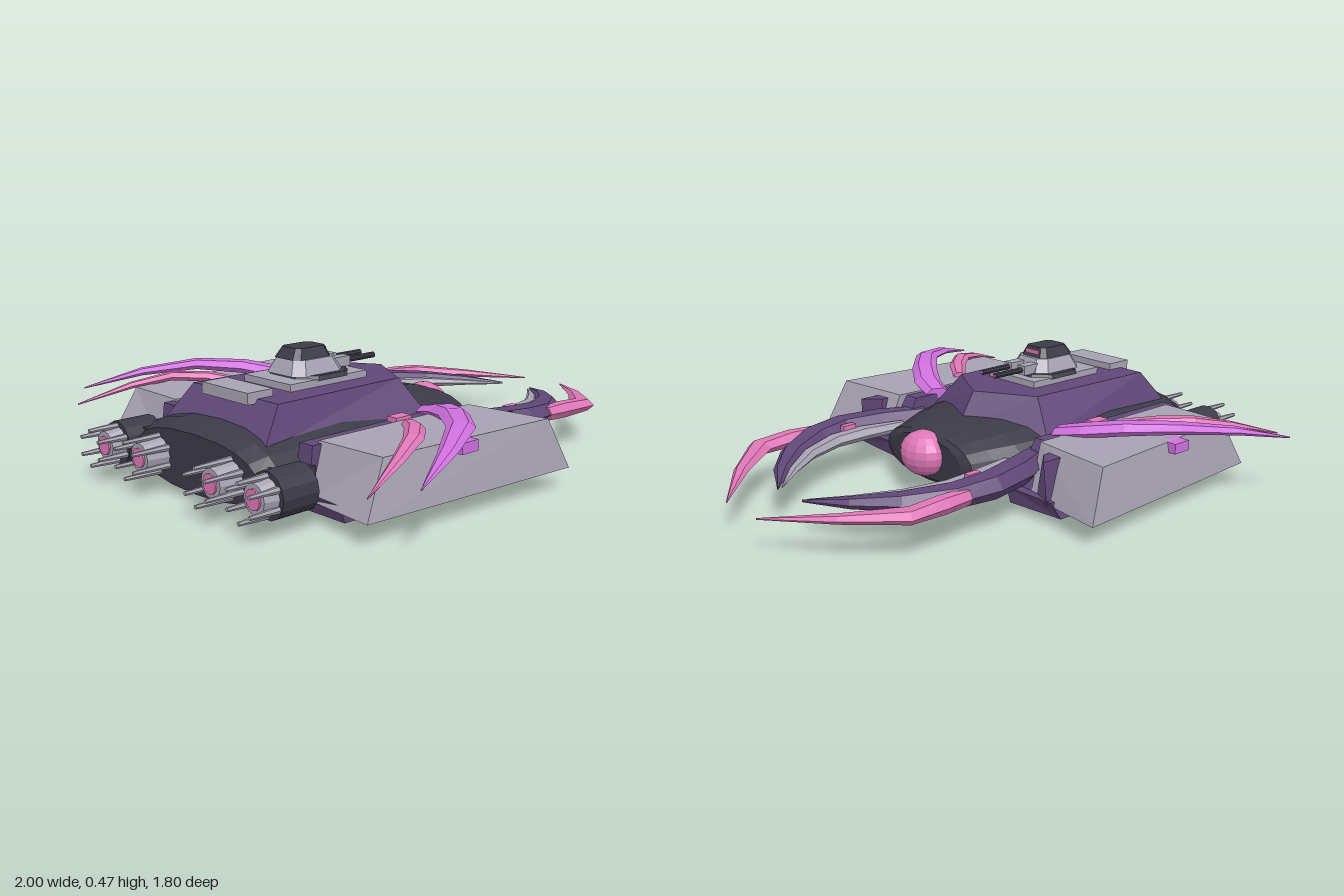
import * as THREE from 'three';

const paint = (name, color) => {
  const m = new THREE.MeshStandardMaterial({ color });
  m.name = name;
  m.flatShading = true;
  return m;
};

// Closed solid through rings of points; winding is fixed by its signed volume
function loft(rings, side = 1) {
  const n = rings[0].length, tris = [];
  for (let r = 0; r < rings.length - 1; r++) {
    for (let i = 0; i < n; i++) {
      const j = (i + 1) % n;
      const a = rings[r][i], b = rings[r][j], c = rings[r + 1][j], d = rings[r + 1][i];
      tris.push([a, b, c], [a, c, d]);
    }
  }
  const last = rings[rings.length - 1];
  for (let i = 1; i < n - 1; i++) {
    tris.push([rings[0][0], rings[0][i + 1], rings[0][i]], [last[0], last[i], last[i + 1]]);
  }
  let volume = 0;
  const vecs = tris.map(t => t.map(p => new THREE.Vector3(p[0], p[1], p[2] * side)));
  vecs.forEach(([a, b, c]) => { volume += a.dot(b.clone().cross(c)); });
  const pos = [];
  vecs.forEach(([a, b, c]) => {
    (volume > 0 ? [a, b, c] : [a, c, b]).forEach(v => pos.push(v.x, v.y, v.z));
  });
  const g = new THREE.BufferGeometry();
  g.setAttribute('position', new THREE.Float32BufferAttribute(pos, 3));
  g.computeVertexNormals();
  return g;
}

// Block between two outlines of [x, z] at two heights
const slab = (low, y0, high, y1, side) =>
  loft([low.map(([x, z]) => [x, y0, z]), high.map(([x, z]) => [x, y1, z])], side);

// Curved tapering claw through [x, y, z, width, height]
function claw(path, side) {
  const section = [[-0.5, 0], [-0.25, 0.5], [0.25, 0.5], [0.5, 0], [0.25, -0.5], [-0.25, -0.5]];
  const rings = path.map(([x, y, z, w, h], i) => {
    const p = path[Math.max(0, i - 1)], q = path[Math.min(path.length - 1, i + 1)];
    const len = Math.hypot(q[0] - p[0], q[2] - p[2]);
    const sx = -(q[2] - p[2]) / len, sz = (q[0] - p[0]) / len;
    return section.map(([u, v]) => [x + sx * u * w, y + v * h, z + sz * u * w]);
  });
  return loft(rings, side);
}

const box = (x0, x1, y0, y1, z0, z1) => new THREE.BoxGeometry(x1 - x0, y1 - y0, z1 - z0)
  .translate((x0 + x1) / 2, (y0 + y1) / 2, (z0 + z1) / 2);

// Cylinder along x from x0 (radius r0) to x1 (radius r1)
const tube = (x0, x1, r0, r1, y, z, sides = 12) =>
  new THREE.CylinderGeometry(r0, r1, x1 - x0, sides).rotateZ(Math.PI / 2).translate((x0 + x1) / 2, y, z);

// Rectangle outline with cut corners
const octagon = (cx, a, b, c) => [[a, b - c], [a - c, b], [c - a, b], [-a, b - c],
  [-a, c - b], [c - a, -b], [a - c, -b], [a, c - b]].map(([x, z]) => [cx + x, z]);

export function createModel() {
  const root = new THREE.Group();
  root.name = 'clawedShip';
  const hullDark = paint('hull charcoal', 0x3b3a47);
  const purple = paint('armour purple', 0x604778);
  const light = paint('pale grey', 0xa7a2b2);
  const pink = paint('pink', 0xde77b7);
  const orchid = paint('orchid', 0xcf70de);
  const add = (name, geo, mat, parent = root) => {
    const m = new THREE.Mesh(geo, mat);
    m.name = name;
    parent.add(m);
    return m;
  };

  // Rounded hull: [x, half width, bottom, top]
  const hull = [[-0.86, 0.34, 0.035, 0.24], [-0.8, 0.37, 0.022, 0.27], [-0.45, 0.39, 0.006, 0.29],
    [-0.1, 0.37, 0.012, 0.28], [0.04, 0.325, 0.025, 0.265], [0.14, 0.275, 0.036, 0.25],
    [0.215, 0.245, 0.05, 0.235], [0.23, 0.2, 0.065, 0.22]].map(([x, w, lo, hi]) => {
    const ring = [], mid = (lo + hi) / 2, h = (hi - lo) / 2;
    for (let i = 0; i < 20; i++) {
      const a = i / 20 * Math.PI * 2, c = Math.cos(a), s = Math.sin(a);
      ring.push([x, mid + h * s, w * Math.sign(c) * Math.abs(c) ** 0.8]);
    }
    return ring;
  });
  add('hull', loft(hull), hullDark);
  add('noseDome', new THREE.SphereGeometry(1, 14, 10).scale(0.083, 0.085, 0.1).translate(0.235, 0.16, 0), pink);

  // Pointed upper armour
  add('upperDeck', slab([[-0.79, 0.28], [-0.08, 0.32], [0.075, 0], [-0.08, -0.32], [-0.79, -0.28]], 0.22,
    [[-0.69, 0.23], [-0.13, 0.215], [-0.005, 0], [-0.13, -0.215], [-0.69, -0.23]], 0.35), purple);
  add('rearDeckPlate', box(-0.73, -0.625, 0.335, 0.375, -0.125, 0.125), light);
  add('turretDeckPlate', box(-0.55, -0.2, 0.34, 0.375, -0.125, 0.125), light);

  // Turret with twin guns
  const turret = new THREE.Group();
  turret.name = 'turret';
  root.add(turret);
  add('turretRing', slab(octagon(-0.36, 0.125, 0.13, 0.06), 0.37, octagon(-0.36, 0.115, 0.12, 0.055), 0.385), hullDark, turret);
  add('turretBody', slab(octagon(-0.38, 0.115, 0.1, 0.035), 0.383, octagon(-0.38, 0.09, 0.075, 0.03), 0.435), light, turret);
  add('turretCap', slab(octagon(-0.39, 0.085, 0.068, 0.02), 0.435, octagon(-0.385, 0.065, 0.05, 0.015), 0.472), hullDark, turret);
  add('turretLamp', box(-0.34, -0.309, 0.448, 0.462, -0.035, 0.035), pink, turret);
  for (const z of [-0.036, 0.036]) {
    add('gunMount', box(-0.3, -0.215, 0.383, 0.42, z - 0.02, z + 0.02), light, turret);
    add('gunBarrel', tube(-0.23, -0.08, 0.011, 0.011, 0.402, z, 8), hullDark, turret);
    add('gunMuzzle', tube(-0.1, -0.076, 0.007, 0.007, 0.402, z, 6), pink, turret);
  }

  for (const side of [1, -1]) {
    const half = new THREE.Group();
    half.name = side > 0 ? 'leftSide' : 'rightSide';
    root.add(half);
    const bx = (x0, x1, y0, y1, z0, z1) => box(x0, x1, y0, y1, Math.min(z0 * side, z1 * side), Math.max(z0 * side, z1 * side));

    // Side pod and its bracket
    add('sidePod', slab([[-0.745, 0.695], [0.15, 0.76], [0.1, 0.42], [-0.715, 0.4]], 0.077,
      [[-0.65, 0.665], [0.07, 0.725], [0.035, 0.4], [-0.66, 0.39]], 0.257, side), light, half);
    add('podBracket', slab([[-0.7, 0.33], [-0.7, 0.55], [0.1, 0.57], [0.12, 0.34]], 0.035,
      [[-0.72, 0.33], [-0.72, 0.55], [0.13, 0.55], [0.13, 0.33]], 0.095, side), purple, half);
    add('podInnerWall', slab([[-0.72, 0.33], [-0.72, 0.41], [0.1, 0.43], [0.1, 0.33]], 0.08,
      [[-0.7, 0.345], [-0.7, 0.405], [0.0, 0.405], [0.0, 0.34]], 0.25, side), purple, half);
    add('podFrontFin', slab([[0.03, 0.45], [0.03, 0.53], [0.13, 0.53], [0.1, 0.45]], 0.08,
      [[0.03, 0.46], [0.03, 0.52], [0.14, 0.52], [0.08, 0.46]], 0.235, side), purple, half);

    // Front mandibles
    add('mandible', claw([[-0.03, 0.175, 0.33, 0.09, 0.07], [0.14, 0.17, 0.395, 0.13, 0.085],
      [0.3, 0.168, 0.43, 0.13, 0.08], [0.44, 0.162, 0.41, 0.13, 0.07], [0.59, 0.155, 0.325, 0.1, 0.055],
      [0.71, 0.148, 0.21, 0.06, 0.035], [0.81, 0.14, 0.075, 0.005, 0.008]], side), purple, half);
    add('mandibleInnerBlade', claw([[0.1, 0.165, 0.3, 0.04, 0.04], [0.27, 0.162, 0.335, 0.085, 0.045],
      [0.4, 0.158, 0.335, 0.08, 0.042], [0.55, 0.152, 0.28, 0.06, 0.035], [0.68, 0.146, 0.185, 0.04, 0.02],
      [0.79, 0.14, 0.08, 0.005, 0.006]], side), light, half);
    add('mandibleStud', bx(0.29, 0.345, 0.17, 0.2, 0.35, 0.375), pink, half);
    add('outerFang', claw([[0.42, 0.165, 0.452, 0.06, 0.05], [0.52, 0.165, 0.455, 0.078, 0.056],
      [0.655, 0.16, 0.45, 0.095, 0.045], [0.82, 0.148, 0.3, 0.055, 0.028], [0.995, 0.132, 0.095, 0.004, 0.005]], side), pink, half);

    // Swept spikes over the pod
    add('longSpike', claw([[-0.11, 0.25, 0.34, 0.1, 0.04], [-0.14, 0.272, 0.44, 0.11, 0.045],
      [-0.22, 0.292, 0.56, 0.105, 0.045], [-0.345, 0.3, 0.7, 0.095, 0.036], [-0.53, 0.278, 0.812, 0.062, 0.026],
      [-0.735, 0.23, 0.9, 0.004, 0.005]], side), orchid, half);
    add('shortSpike', claw([[-0.325, 0.262, 0.455, 0.05, 0.03], [-0.4, 0.278, 0.555, 0.07, 0.034],
      [-0.5, 0.282, 0.645, 0.068, 0.03], [-0.64, 0.255, 0.715, 0.045, 0.022], [-0.83, 0.2, 0.785, 0.004, 0.005]], side), pink, half);
    add('spikeSocket', bx(-0.32, -0.25, 0.235, 0.268, 0.35, 0.395), pink, half);
    add('podStud', bx(-0.37, -0.295, 0.22, 0.257, 0.66, 0.73), orchid, half);

    // Engines: the outer one has its own housing
    add('outerEngineHousing', tube(-0.89, -0.75, 0.078, 0.078, 0.135, side * 0.415, 14), hullDark, half);
    add('engineStrut', bx(-0.82, -0.7, 0.08, 0.19, 0.3, 0.42), hullDark, half);
    for (const [z, x] of [[0.415, -0.885], [0.2, -0.855]]) {
      const engine = new THREE.Group();
      engine.name = 'engine';
      half.add(engine);
      add('nozzle', tube(-0.94, x, 0.05, 0.062, 0.135, side * z, 12), light, engine);
      add('engineGlow', tube(-0.946, -0.935, 0.034, 0.034, 0.135, side * z, 12), pink, engine);
      for (let i = 0; i < 6; i++) {
        const a = (i + 0.5) * Math.PI / 3;
        add('prong', tube(-1, x, 0.007, 0.012, 0.135 + Math.sin(a) * 0.062, side * z + Math.cos(a) * 0.062, 6), light, engine);
      }
    }
  }
  return root;
}
